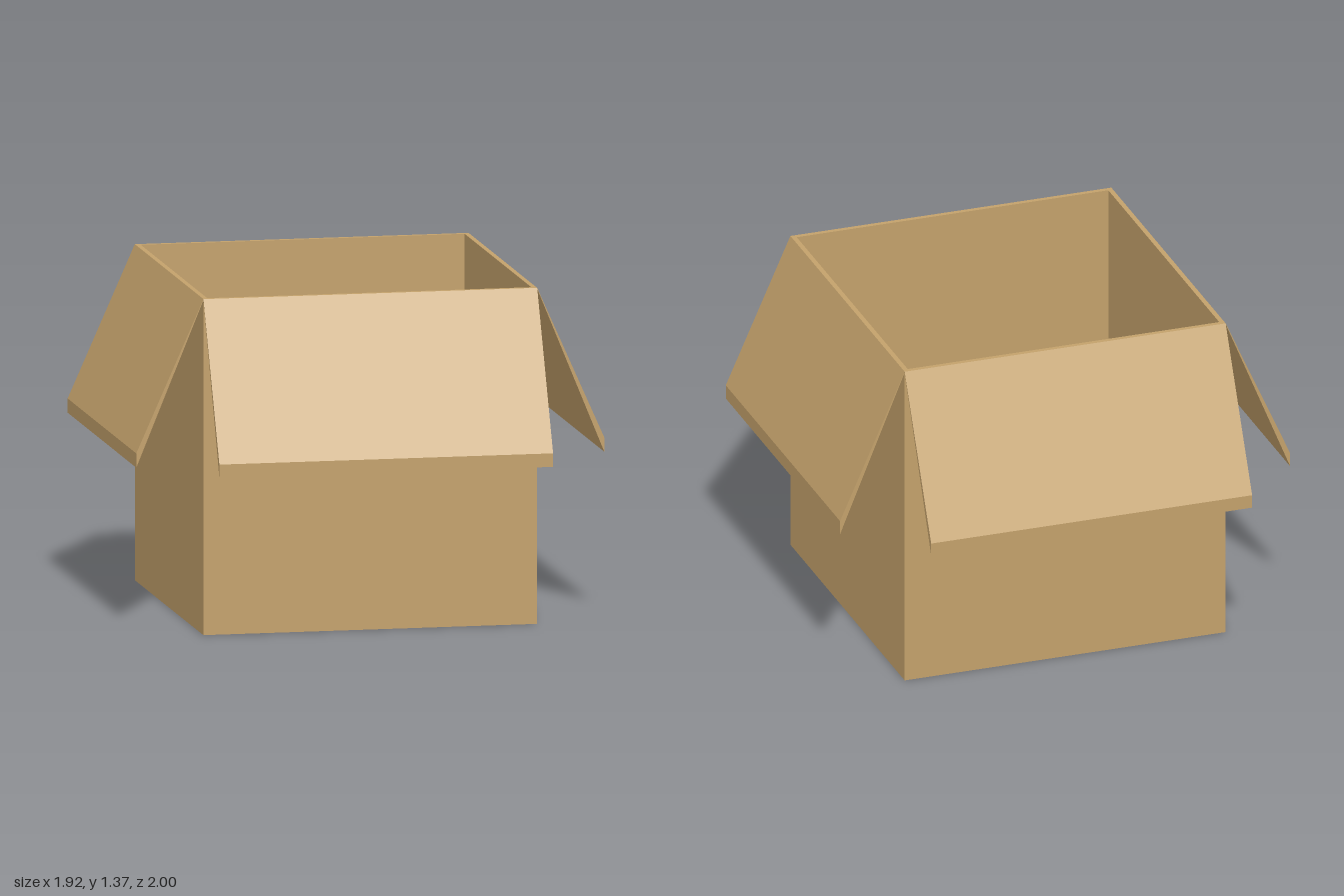
import * as THREE from 'three';

const HALF = 0.683, HEIGHT = 1.366, WALL = 0.02;

export function createModel() {
  const group = new THREE.Group();
  const cardboard = new THREE.MeshStandardMaterial({ color: 0xc3a16b });
  cardboard.name = 'cardboard';

  const add = (name, geometry) => {
    const mesh = new THREE.Mesh(geometry, cardboard);
    mesh.name = name;
    group.add(mesh);
    return mesh;
  };

  const square = (Type, h) => new Type([
    new THREE.Vector2(-h, -h), new THREE.Vector2(h, -h),
    new THREE.Vector2(h, h), new THREE.Vector2(-h, h),
  ]);

  // Four walls as one square tube
  const outline = square(THREE.Shape, HALF);
  outline.holes.push(square(THREE.Path, HALF - WALL));
  const walls = new THREE.ExtrudeGeometry(outline, { depth: HEIGHT, bevelEnabled: false });
  walls.rotateX(-Math.PI / 2);
  add('walls', walls);

  // Bottom panel, fitted between the walls
  const inner = 2 * (HALF - WALL);
  add('floor', new THREE.BoxGeometry(inner, WALL, inner).translate(0, WALL / 2, 0));

  // Folded-out flaps: a wedge, thin at the hinge and thicker at the free edge
  const flap = (name, reach, tipTop, tipBottom, angle) => {
    const section = new THREE.Shape([
      new THREE.Vector2(HALF, HEIGHT - 0.004),
      new THREE.Vector2(reach, tipBottom),
      new THREE.Vector2(reach, tipTop),
      new THREE.Vector2(HALF, HEIGHT),
    ]);
    const geometry = new THREE.ExtrudeGeometry(section, { depth: 2 * HALF, bevelEnabled: false });
    geometry.translate(0, 0, -HALF);
    add(name, geometry).rotation.y = angle;
  };
  flap('leftFlap', 0.958, 0.748, 0.69, 0);
  flap('rightFlap', 0.958, 0.748, 0.69, Math.PI);
  flap('frontFlap', 1, 0.745, 0.69, -Math.PI / 2);
  flap('backFlap', 1, 0.745, 0.69, Math.PI / 2);

  return group;
}
